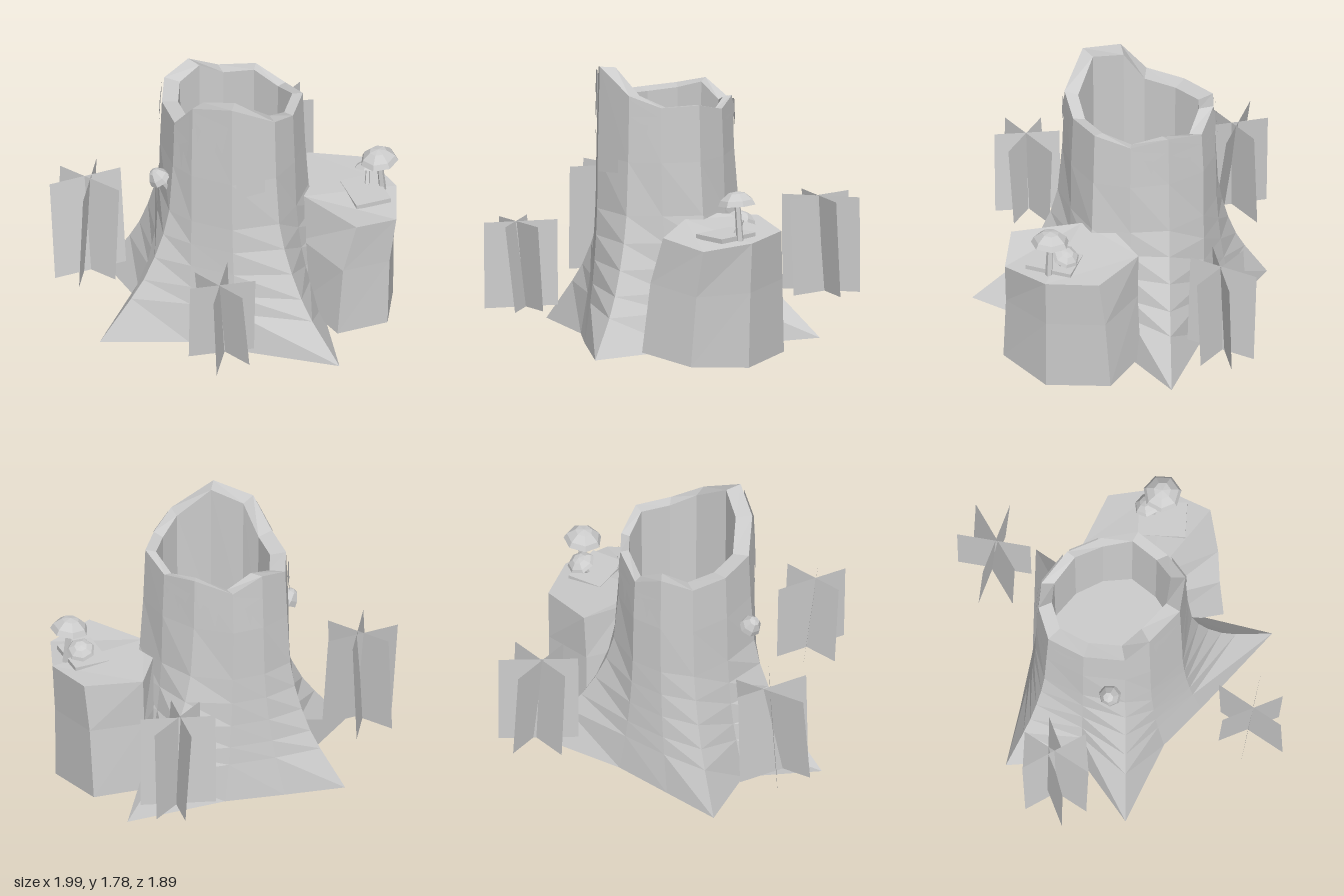
import * as THREE from 'three';

const grey = new THREE.MeshStandardMaterial({ color: 0xcccccc, side: THREE.DoubleSide });
grey.name = 'plain grey';

// Faceted mesh from a list of triangle corners
function facet(name, corners) {
  const g = new THREE.BufferGeometry();
  g.setAttribute('position', new THREE.Float32BufferAttribute(corners.flat(), 3));
  g.computeVertexNormals();
  const m = new THREE.Mesh(g, grey);
  m.name = name;
  return m;
}

// Flat cap over a ring, fanned so that concave rings fill cleanly
function cap(ring) {
  const outline = ring.map(p => new THREE.Vector2(p[0], p[2]));
  return THREE.ShapeUtils.triangulateShape(outline, []).flat().map(k => ring[k]);
}

// Skin through rings of points, closed at the top and optionally at the foot
function skin(name, rings, closedFoot) {
  const t = [], n = rings[0].length;
  for (let i = 0; i < n; i++) {
    const j = (i + 1) % n;
    for (let k = 0; k + 1 < rings.length; k++) {
      const a = rings[k], b = rings[k + 1];
      t.push(a[i], b[i], b[j], a[i], b[j], a[j]);
    }
  }
  t.push(...cap(rings[rings.length - 1]).reverse());
  if (closedFoot) t.push(...cap(rings[0]));
  return facet(name, t);
}

const mix = (a, b, t) => a.map((v, k) => v + (b[k] - v) * t);

// Trunk columns, starting at the left side and turning towards the front
const rim = [
  [.42, 1.52, -.1], [.4, 1.58, .13], [.22, 1.57, .29], [.03, 1.64, .37],
  [-.24, 1.785, .29], [-.39, 1.73, .07], [-.42, 1.54, -.09], [-.35, 1.53, -.34],
  [-.20, 1.54, -.54], [0, 1.59, -.57], [.19, 1.5, -.52], [.35, 1.56, -.33]];
const root = [
  [.62, .03, -.13], [.88, .04, .25], [.41, .05, .33], [.14, .06, .94],
  [-.27, .03, .42], [-.47, .02, .15], [-.93, .01, -.17], [-.48, .01, -.38],
  [-.44, .02, -.85], [-.08, .02, -.7], [.28, .03, -.56], [.94, .05, -.43]];
const trunkLevels = [[.28, .57], [.4, .4], [.55, .25], [.71, .13], [.88, .05], [1.22, 0]];

function trunkRing([y, w]) {
  return rim.map((p, i) => {
    const x = p[0] * 1.03, z = -.1 + (p[2] + .1) * 1.03;
    return [x + (root[i][0] - x) * w, y, z + (root[i][2] - z) * w];
  });
}

function trunk() {
  const inset = (s, y) => rim.map(p => [.025 + p[0] * s, y ?? p[1] - .01, -.1 + (p[2] + .1) * s]);
  return skin('hollowTrunk', [root, ...trunkLevels.map(trunkRing), rim, inset(.81), inset(.79, .9)], true);
}

// Plate on the upper trunk face of column i; outline in (across, height)
const shoulder = trunkRing([1.22, 0]);
function barkPlate(name, i, outline) {
  const j = (i + 1) % 12;
  const at = (u, y) => {
    const a = mix(shoulder[i], rim[i], (y - 1.22) / (rim[i][1] - 1.22));
    const b = mix(shoulder[j], rim[j], (y - 1.22) / (rim[j][1] - 1.22));
    const p = mix(a, b, u);
    const d = Math.hypot(p[0], p[2] + .1);
    return [p[0] * (1 + .015 / d), y, p[2] + (p[2] + .1) * .015 / d];
  };
  const faces = THREE.ShapeUtils.triangulateShape(outline.map(p => new THREE.Vector2(...p)), []);
  return facet(name, faces.flat().map(k => at(...outline[k])));
}

// Ragged strip hanging just below the rim
function drip(i, length) {
  const a = rim[i][1], b = rim[(i + 1) % 12][1];
  const low = Math.min(a, b) - .04;
  const drops = [[.92, .1], [.84, .5], [.74, .25], [.62, .35], [.46, 1], [.38, .4], [.24, .6], [.1, .08]];
  return barkPlate('hangingMoss', i, [[.1, a + (b - a) * .1 - .02], [.92, a + (b - a) * .92 - .02],
    ...drops.map(([u, d]) => [u, low - d * length])]);
}

// Side stump, seven columns, open underneath
function sideStump() {
  const top = [[.35, .86, .22], [.43, .87, 0], [.64, .85, -.18], [.945, .82, .03],
    [.945, .8, .37], [.76, .775, .65], [.46, .83, .65]].reverse();
  const foot = [[.3, .09, .25], [.32, .09, 0], [.62, .06, -.19], [.92, .03, -.04],
    [.92, 0, .37], [.68, .03, .67], [.31, .08, .66]].reverse();
  const waist = top.map((p, i) => {
    const q = mix(foot[i], p, .35);
    return [q[0], foot[i][1] + (p[1] - foot[i][1]) * .6, .24 + (q[2] - .24) * .97];
  });
  return skin('sideStump', [foot, waist, top], false);
}

// Mushroom with a slanted stem and a faceted domed cap
function mushroom(foot, head, radius, height, stemRadius) {
  const g = new THREE.Group();
  g.name = 'mushroom';
  const a = new THREE.Vector3(...foot), b = new THREE.Vector3(...head);
  const axis = b.clone().sub(a);
  const add = (name, geo) => {
    const flat = geo.toNonIndexed();
    flat.computeVertexNormals();
    const m = new THREE.Mesh(flat, grey);
    m.name = name;
    m.quaternion.setFromUnitVectors(new THREE.Vector3(0, 1, 0), axis.clone().normalize());
    g.add(m);
    return m;
  };
  const stem = add('stem', new THREE.CylinderGeometry(stemRadius * .8, stemRadius, axis.length(), 5));
  stem.position.copy(a).add(b).multiplyScalar(.5);
  const profile = [[.001, .15], [1, 0], [.86, .4], [.45, .88], [.001, 1]]
    .map(([r, h]) => new THREE.Vector2(r * radius, h * height));
  const dome = add('cap', new THREE.LatheGeometry(profile, 7));
  dome.position.copy(b).y -= height * .15;
  return g;
}

// Plant of three crossed upright leaves; each has a half width (x, z) and a lean across it
function plant(x, z, y0, y1, leaves) {
  const g = new THREE.Group();
  g.name = 'crossedPlant';
  for (const [dx, dz, lean] of leaves) {
    const s = lean / 2 / Math.hypot(dx, dz);
    const lx = dz * s, lz = -dx * s;
    const a = [x - dx - lx, y0, z - dz - lz], b = [x + dx - lx, y0, z + dz - lz];
    const c = [x + dx + lx, y1, z + dz + lz], d = [x - dx + lx, y1, z - dz + lz];
    g.add(facet('leaf', [a, b, c, a, c, d]));
  }
  return g;
}

export function createModel() {
  const model = new THREE.Group();
  model.name = 'hollowTreeStump';
  model.add(trunk(), sideStump());

  // Bark details
  for (const [i, len] of [[2, .17], [4, .4], [5, .25], [7, .2], [8, .24], [9, .2], [10, .2], [11, .16]])
    model.add(drip(i, len));
  model.add(barkPlate('barkPatch', 3, [[.28, 1.14], [.28, 1.37], [.9, 1.34], [.9, 1.12]]));

  // Moss slab on the side stump
  const slab = new THREE.Mesh(new THREE.BoxGeometry(.23, .03, .3), grey);
  slab.name = 'mossSlab';
  slab.position.set(.73, .822, .34);
  slab.rotation.y = -.22;
  model.add(slab);

  // Mushrooms
  model.add(
    mushroom([.85, .79, .36], [.825, 1.045, .355], .122, .085, .024),
    mushroom([.77, .81, .3], [.805, .93, .26], .09, .05, .018),
    mushroom([-.4, .97, -.16], [-.46, 1.075, -.19], .072, .09, .02));

  // Plants around the trunk
  model.add(
    plant(-.575, .685, .28, .825, [[.047, .2, -.065], [.195, .077, -.04], [-.165, .17, -.02]]),
    plant(-.745, -.585, .28, .94, [[.237, .045, .09], [.08, .215, .04], [-.167, .175, .025]]),
    plant(.76, -.725, .28, .89, [[.205, .12, -.03], [-.078, .22, -.04], [-.235, .085, .015]]));
  return model;
}
